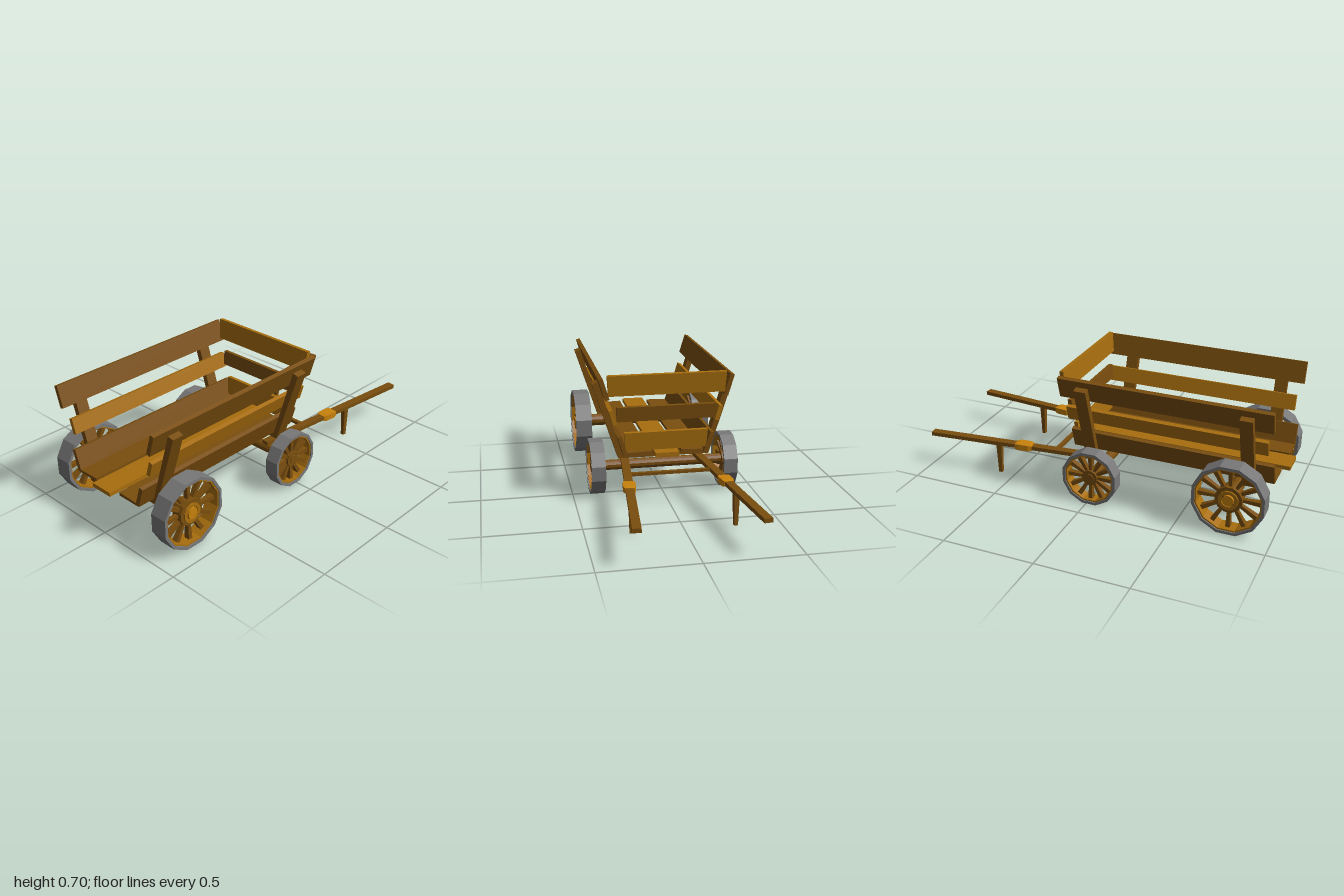
import * as THREE from 'three';

const paint = (name, color) => {
  const m = new THREE.MeshStandardMaterial({ color, flatShading: true });
  m.name = name;
  return m;
};

export function createModel() {
  const lightWood = paint('light wood', 0xa86e0e);
  const darkWood = paint('dark wood', 0x7a4e0e);
  const gold = paint('golden binding', 0xc8820c);
  const iron = paint('grey iron', 0x787878);

  const model = new THREE.Group();
  model.name = 'handcart';

  const add = (parent, name, geometry, material, x = 0, y = 0, z = 0) => {
    const mesh = new THREE.Mesh(geometry, material);
    mesh.name = name;
    mesh.position.set(x, y, z);
    parent.add(mesh);
    return mesh;
  };

  // Outline in x/y extruded from z0 to z1
  const prism = (points, z0, z1) => {
    const shape = new THREE.Shape(points.map(([x, y]) => new THREE.Vector2(x, y)));
    const g = new THREE.ExtrudeGeometry(shape, { depth: z1 - z0, bevelEnabled: false });
    return g.translate(0, 0, z0);
  };
  const mirrored = (points, s) => points.map(([x, y]) => [x * s, y]);

  // Ring with a rectangular section, turned around the x axis
  const ring = (inner, outer, width) => {
    const h = width / 2;
    const p = [[inner, -h], [outer, -h], [outer, h], [inner, h], [inner, -h]];
    const g = new THREE.LatheGeometry(p.map(([r, y]) => new THREE.Vector2(r, y)), 12, Math.PI / 12);
    return g.rotateZ(Math.PI / 2);
  };
  const drum = (radius, width) =>
    new THREE.CylinderGeometry(radius, radius, width, 12, 1, false, Math.PI / 12).rotateZ(Math.PI / 2);

  // Wheel: iron tyre, wooden rim, tapered spokes and stepped hub
  const makeWheel = (name, R, width, hubR, big) => {
    const wheel = new THREE.Group();
    wheel.name = name;
    add(wheel, 'tyre', ring(R - 0.016, R, width), iron);
    add(wheel, 'rim', ring(R - 0.024, R - 0.015, width * 0.85), lightWood);
    const length = R - 0.018 - hubR * 0.8;
    for (let i = 0; i < 12; i++) {
      const spoke = new THREE.CylinderGeometry(0.017, 0.011, length, 4, 1, false, Math.PI / 4);
      spoke.scale(1.4, 1, 1).translate(0, hubR * 0.8 + length / 2, 0).rotateX((i * Math.PI) / 6);
      add(wheel, 'spoke', spoke, darkWood);
    }
    add(wheel, 'hub', drum(hubR, width * 0.6), darkWood);
    if (big) {
      add(wheel, 'hubRing', ring(0.036, 0.053, width * 0.78), lightWood);
      add(wheel, 'hubCap', drum(0.03, width * 0.85), gold);
    } else {
      add(wheel, 'hubCap', drum(0.024, width * 0.75), darkWood);
    }
    return wheel;
  };

  // Wheel pairs and axles
  const axles = [
    { end: 'rear', z: 0.7725, y: 0.198, R: 0.193, w: 0.096, hub: 0.072, r: 0.036, x: 0.365, big: true },
    { end: 'front', z: 0.018, y: 0.152, R: 0.154, w: 0.077, hub: 0.043, r: 0.028, x: 0.3665, big: false },
  ];
  for (const a of axles) {
    add(model, a.end + 'Axle', drum(a.r, 0.68), darkWood, 0, a.y, a.z);
    for (const s of [-1, 1]) {
      const wheel = makeWheel(a.end + 'Wheel', a.R, a.w, a.hub, a.big);
      wheel.position.set(s * a.x, a.y, a.z);
      wheel.rotation.y = s < 0 ? Math.PI : 0;
      model.add(wheel);
    }
  }

  // U-shaped frames: cross beam with outward-leaning posts
  const half = [[0.252, 0.215], [0.388, 0.636], [0.355, 0.645], [0.232, 0.245]];
  const frame = [...half, ...mirrored(half, -1).reverse()];
  for (const z of [-0.067, 0.8]) add(model, 'postFrame', prism(frame, z, z + 0.066), darkWood);

  // Floor boards
  add(model, 'middleFloorBoard', new THREE.BoxGeometry(0.13, 0.022, 1.17), lightWood, 0, 0.256, 0.415);
  for (const s of [-1, 1]) {
    const floor = [[0.088, 0.245], [0.222, 0.245], [0.218, 0.259], [0.088, 0.263]];
    add(model, 'sideFloorBoard', prism(mirrored(floor, s), -0.12, 0.96), darkWood);

    // Leaning side boards
    const boards = [
      ['lowerSideBoard', [[0.265, 0.355], [0.244, 0.362], [0.208, 0.25], [0.231, 0.245]], -0.14, 0.96, darkWood],
      ['middleSideBoard', [[0.311, 0.503], [0.289, 0.509], [0.265, 0.43], [0.287, 0.424]], -0.147, 0.93, lightWood],
      ['upperSideBoard', [[0.365, 0.68], [0.343, 0.687], [0.308, 0.574], [0.331, 0.567]], -0.17, 0.96, darkWood],
    ];
    for (const [name, section, z0, z1, mat] of boards) {
      add(model, name, prism(mirrored(section, s), z0, z1), mat);
    }
  }

  // End boards, tipped slightly outward
  const ends = [
    ['lowerEndBoard', 0.328, 0.102, 0.222, 0.229, -0.128, lightWood],
    ['middleEndBoard', 0.485, 0.08, 0.268, 0.271, -0.143, darkWood],
    ['upperEndBoard', 0.646, 0.112, 0.314, 0.321, -0.16, lightWood],
  ];
  for (const [name, y, h, bottom, top, z, mat] of ends) {
    const outline = [[-bottom, -h / 2], [bottom, -h / 2], [top, h / 2], [-top, h / 2]];
    add(model, name, prism(outline, -0.011, 0.011), mat, 0, y, z).rotation.x = -0.09;
  }

  // Pulling shafts with collars and prop legs
  const angle = Math.atan(0.1);
  const shaftX = (z) => 0.208 - 0.1 * z;
  for (const s of [-1, 1]) {
    const shaft = add(model, 'shaft', new THREE.BoxGeometry(0.044, 0.022, 1.041), darkWood,
      s * shaftX(-0.48), 0.186, -0.48);
    shaft.rotation.y = -s * angle;

    const profile = [[0, -0.05], [0.8, -0.05], [1, -0.03], [1, 0.03], [0.8, 0.05], [0, 0.05]];
    const collar = new THREE.LatheGeometry(
      profile.map(([r, y]) => new THREE.Vector2(r * Math.SQRT2, y)), 4, Math.PI / 4);
    collar.rotateX(Math.PI / 2).scale(0.032, 0.017, 1);
    add(model, 'shaftCollar', collar, gold, s * shaftX(-0.44), 0.186, -0.44).rotation.y = -s * angle;

    const leg = new THREE.CylinderGeometry(0.021, 0.014, 0.18, 4, 1, false, Math.PI / 4);
    add(model, 'propLeg', leg, darkWood, s * shaftX(-0.59), 0.09, -0.59).rotation.y = -s * angle;
  }
  add(model, 'shaftCrossbar', new THREE.BoxGeometry(0.46, 0.016, 0.022), darkWood, 0, 0.186, -0.255);

  return model;
}
